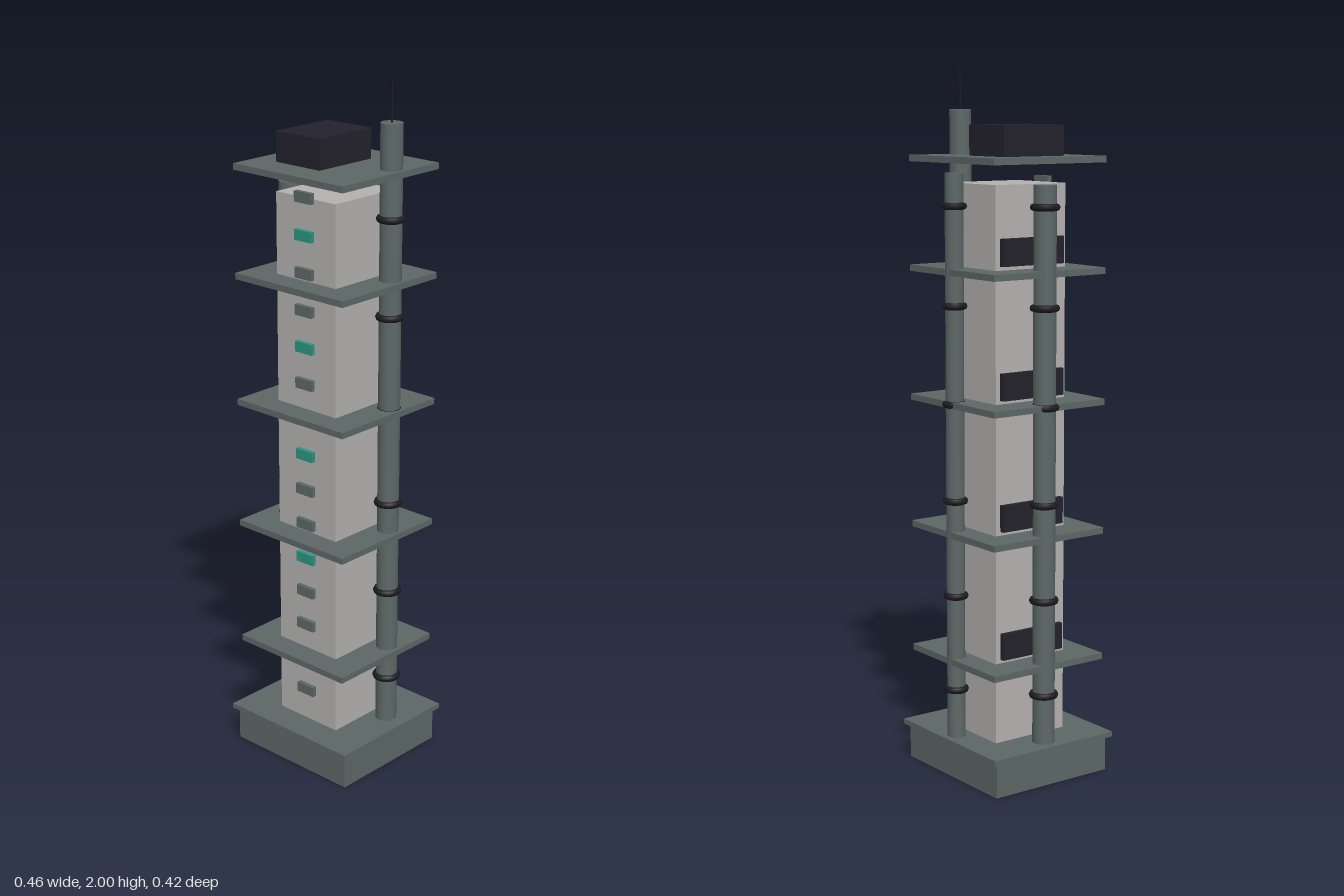
import * as THREE from 'three';

const mat = (name, color) => {
  const m = new THREE.MeshStandardMaterial({ color });
  m.name = name;
  return m;
};

export function createModel() {
  const steel = mat('grey green steel', 0x5c6866);
  const concrete = mat('pale concrete', 0xb4b1b0);
  const dark = mat('dark roof', 0x23222d);
  const black = mat('black band', 0x1b1b21);
  const teal = mat('teal glass', 0x2b9482);

  const tower = new THREE.Group();
  tower.name = 'tower';

  const add = (name, geometry, material, x, y, z) => {
    const mesh = new THREE.Mesh(geometry, material);
    mesh.name = name;
    mesh.position.set(x, y, z);
    tower.add(mesh);
    return mesh;
  };
  // Box given by its bottom and top heights
  const box = (name, material, w, d, y0, y1, x = 0, z = 0) =>
    add(name, new THREE.BoxGeometry(w, y1 - y0, d), material, x, (y0 + y1) / 2, z);

  // Plinth, lip and central shaft
  box('base', steel, 0.43, 0.39, 0, 0.1);
  box('baseLip', steel, 0.455, 0.42, 0.1, 0.115);
  box('shaft', concrete, 0.22, 0.24, 0.115, 1.69);

  // Floor platforms and the raised roof slab
  [0.339, 0.709, 1.08, 1.449, 1.756].forEach((y, i) =>
    box(i < 4 ? 'platform' : 'roofSlab', steel, 0.402, 0.384, y - 0.009, y + 0.009));
  box('roofHousing', dark, 0.161, 0.205, 1.765, 1.85, -0.0465, -0.0015);

  // Column of front windows, every third one lit
  for (let i = 0; i < 15; i++) {
    const y = 0.215 + i * 0.1055;
    box('frontWindow', i % 3 === 1 ? teal : steel, 0.062, 0.014, y - 0.015, y + 0.015, 0, 0.126);
  }

  // Dark panels standing on the side wall above each platform
  for (let i = 0; i < 4; i++) {
    const y = 0.397 + i * 0.37;
    box('sidePanel', dark, 0.015, 0.21, y - 0.038, y + 0.038, -0.1175, 0);
  }

  // Service pipes with clamp bands
  const pipes = [
    { name: 'leftPipe', x: 0.16, z: -0.045, r: 0.031, top: 1.89 },
    { name: 'rightPipe', x: -0.174, z: 0, r: 0.032, top: 1.69 },
    { name: 'backPipe', x: 0.017, z: -0.168, r: 0.026, top: 1.72 },
  ];
  for (const { name, x, z, r, top } of pipes) {
    const h = top - 0.115;
    add(name, new THREE.CylinderGeometry(r, r, h, 24), steel, x, 0.115 + h / 2, z);
    for (let i = 0; i < 6; i++) {
      const band = add(name + 'Band', new THREE.TorusGeometry(r, 0.01, 8, 28), black, x, 0.255 + i * 0.275, z);
      band.rotation.x = Math.PI / 2;
    }
  }

  // Antenna on the tallest pipe
  add('antenna', new THREE.CylinderGeometry(0.002, 0.003, 0.11, 8), black, 0.16, 1.945, -0.045);

  return tower;
}
